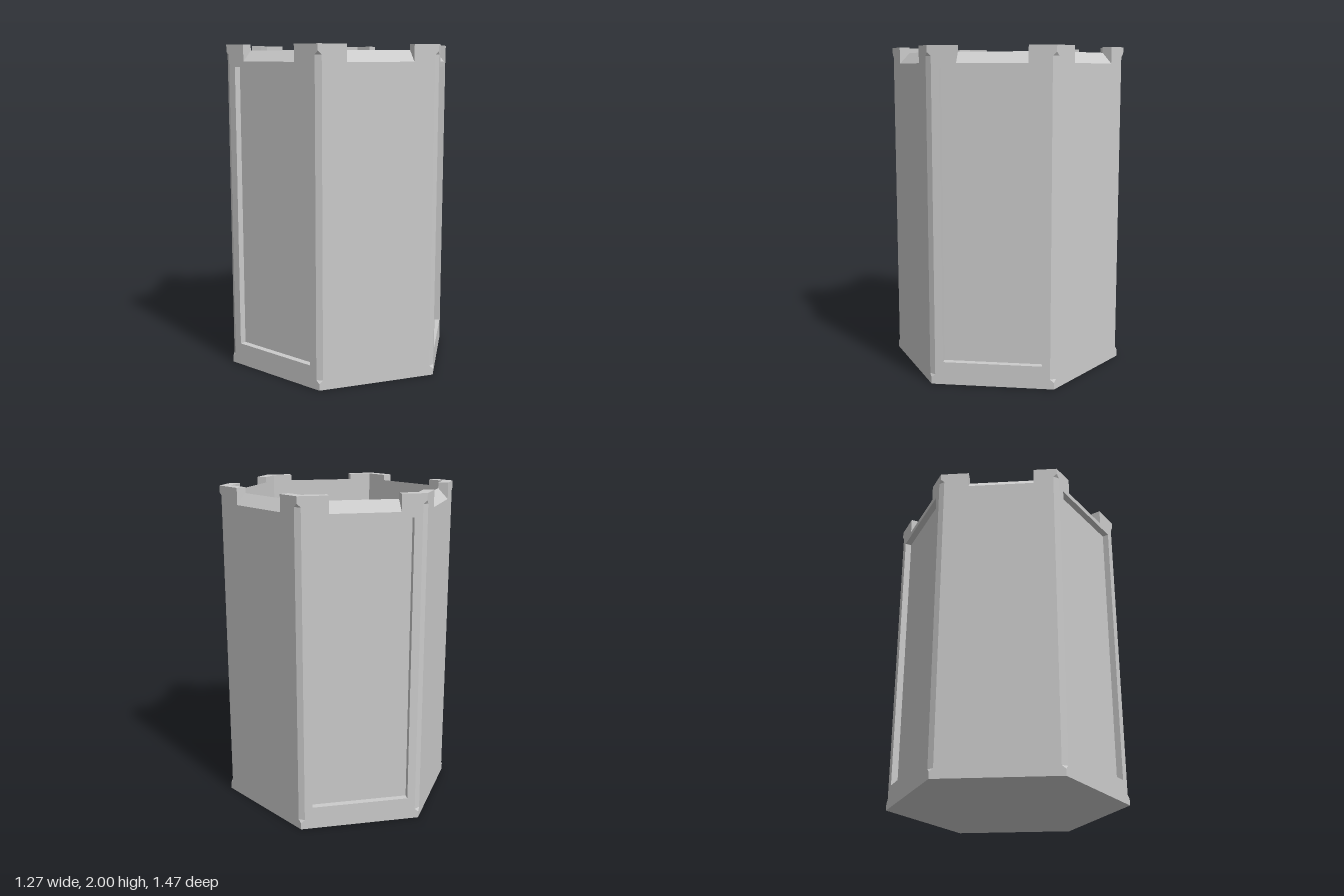
import * as THREE from 'three';

const TAN30 = Math.tan(Math.PI / 6);
const TOP = 2, SILL_OUT = 1.9, SILL_IN = 1.965, FLOOR = 0.06;
const OUT = 0.637, IN = 0.575;             // outer and inner wall distance from the axis
const H = OUT * TAN30, HI = IN * TAN30;    // half widths of the outer and inner walls
const BEVEL = 0.023;
const NOTCH = 0.205;                       // half width of a battlement gap
const PANEL = { half: 0.296, y0: 0.138, y1: 1.868, depth: 0.04 };

const material = new THREE.MeshStandardMaterial({ color: 0xcccccc, flatShading: true });

function mesh(name, geometry) {
  const m = new THREE.Mesh(geometry, material);
  m.name = name;
  return m;
}

// Flat convex polygons, each a list of [x, y, z] corners, counter-clockwise from outside
function polygons(list) {
  const pos = [];
  for (const p of list)
    for (let i = 1; i < p.length - 1; i++) pos.push(...p[0], ...p[i], ...p[i + 1]);
  const g = new THREE.BufferGeometry();
  g.setAttribute('position', new THREE.Float32BufferAttribute(pos, 3));
  g.computeVertexNormals();
  return g;
}

const shapeOf = (pts) => new THREE.Shape(pts.map(([x, y]) => new THREE.Vector2(x, y)));

// One wall of the tower, facing +z; c is the sideways shift of its battlement gap
function createWall(c, hasPanel) {
  const wall = new THREE.Group();
  const n0 = c - NOTCH, n1 = c + NOTCH, b = H - BEVEL;
  const { half: p, y0, y1, depth } = PANEL;
  const back = OUT - depth;

  // Outer face with bevelled sides, battlement gap and optional panel opening
  const outer = shapeOf([
    [-H, 0], [H, 0], [H, 0.04], [b, 0.06], [b, 1.94], [H, 1.96], [H, TOP],
    [n1, TOP], [n1, SILL_OUT], [n0, SILL_OUT], [n0, TOP],
    [-H, TOP], [-H, 1.96], [-b, 1.94], [-b, 0.06], [-H, 0.04],
  ]);
  if (hasPanel) {
    outer.holes.push(new THREE.Path(
      [[-p, y0], [-p, y1], [p, y1], [p, y0]].map(([x, y]) => new THREE.Vector2(x, y))));
    // Recessed panel and its reveals
    wall.add(mesh('recessedPanel', polygons([
      [[-p, y0, back], [p, y0, back], [p, y1, back], [-p, y1, back]],
      [[-p, y0, OUT], [p, y0, OUT], [p, y0, back], [-p, y0, back]],
      [[-p, y1, back], [p, y1, back], [p, y1, OUT], [-p, y1, OUT]],
      [[-p, y0, OUT], [-p, y0, back], [-p, y1, back], [-p, y1, OUT]],
      [[p, y0, back], [p, y0, OUT], [p, y1, OUT], [p, y1, back]],
    ])));
  }
  wall.add(mesh('outerWall', new THREE.ShapeGeometry(outer).translate(0, 0, OUT)));

  // Inner face, turned towards the axis
  const inner = shapeOf([
    [-HI, FLOOR], [HI, FLOOR], [HI, TOP], [-n0, TOP], [-n0, SILL_IN],
    [-n1, SILL_IN], [-n1, TOP], [-HI, TOP],
  ]);
  wall.add(mesh('innerWall',
    new THREE.ShapeGeometry(inner).rotateY(Math.PI).translate(0, 0, IN)));

  // Battlement tops, sloping sill and gap cheeks
  wall.add(mesh('battlement', polygons([
    [[-H, TOP, OUT], [n0, TOP, OUT], [n0, TOP, IN], [-HI, TOP, IN]],
    [[n1, TOP, OUT], [H, TOP, OUT], [HI, TOP, IN], [n1, TOP, IN]],
    [[n0, SILL_OUT, OUT], [n1, SILL_OUT, OUT], [n1, SILL_IN, IN], [n0, SILL_IN, IN]],
    [[n0, SILL_OUT, OUT], [n0, SILL_IN, IN], [n0, TOP, IN], [n0, TOP, OUT]],
    [[n1, SILL_IN, IN], [n1, SILL_OUT, OUT], [n1, TOP, OUT], [n1, TOP, IN]],
  ])));

  // Bevel on the corner shared with the next wall
  const P = (y) => [b, y, OUT];
  const Q = (y) => [H + BEVEL * 0.5, y, OUT - BEVEL * Math.sqrt(0.75)];
  const V = (y) => [H, y, OUT];
  wall.add(mesh('cornerBevel', polygons([
    [P(0.06), Q(0.06), Q(1.94), P(1.94)],
    [V(0.04), Q(0.06), P(0.06)],
    [P(1.94), Q(1.94), V(1.96)],
  ])));
  return wall;
}

export function createModel() {
  const tower = new THREE.Group();
  tower.name = 'hexagonalTower';

  // Six walls, every second one panelled, gaps slightly uneven
  const shifts = [-0.016, 0.008, 0.005, 0.018, 0.016, 0.015];
  shifts.forEach((c, i) => {
    const wall = createWall(c, i % 2 === 0);
    wall.name = 'wall' + (i + 1);
    wall.rotation.y = THREE.MathUtils.degToRad(-30 + i * 60);
    tower.add(wall);
  });

  // Underside and inside floor
  const hexagon = (apothem) =>
    new THREE.CircleGeometry(apothem / Math.cos(Math.PI / 6), 6, Math.PI / 2);
  tower.add(mesh('underside', hexagon(OUT).rotateX(Math.PI / 2)));
  tower.add(mesh('floor', hexagon(IN).rotateX(-Math.PI / 2).translate(0, FLOOR, 0)));
  return tower;
}
